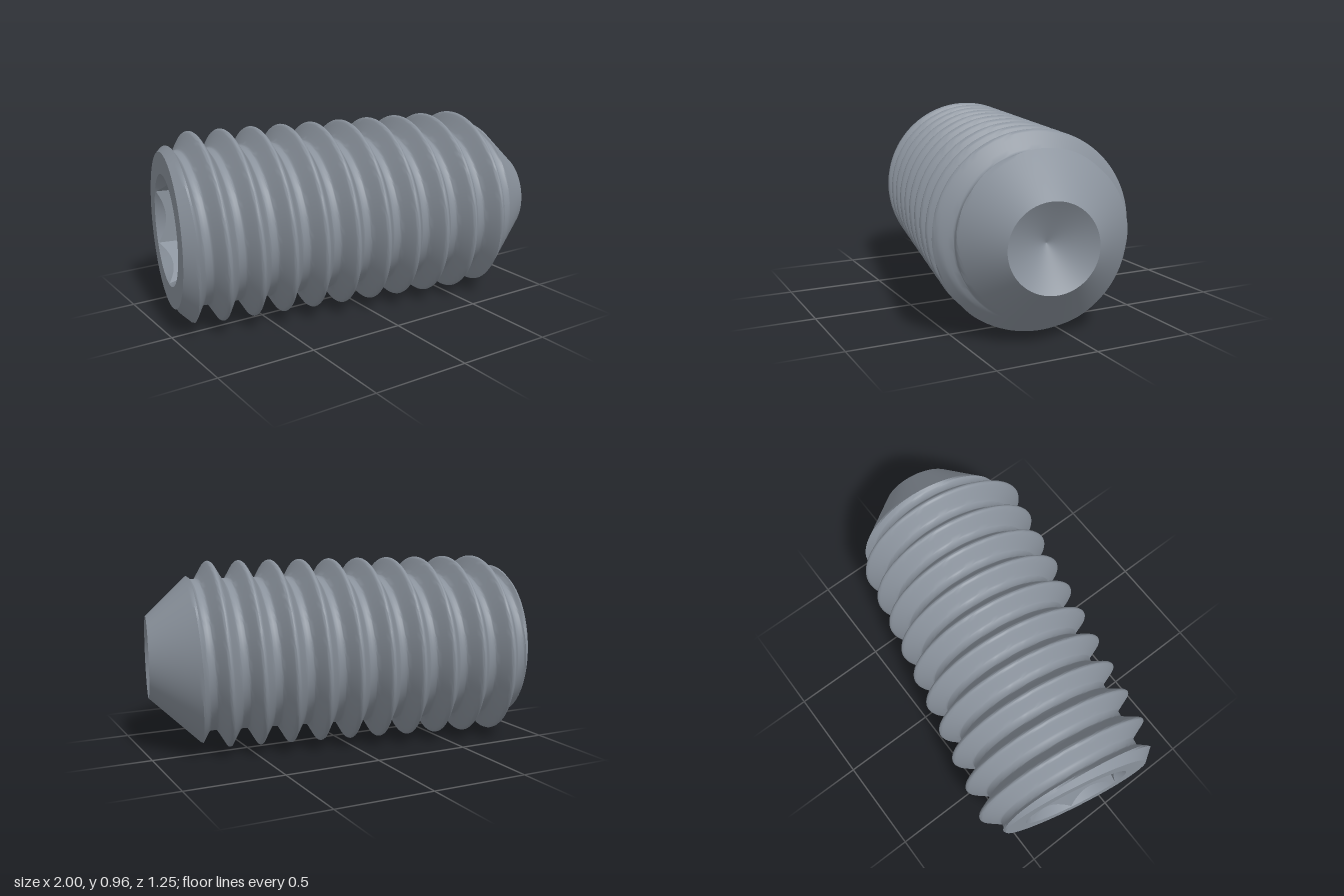
import * as THREE from 'three';
import { toCreasedNormals } from 'three/addons/utils/BufferGeometryUtils.js';

const steel = new THREE.MeshStandardMaterial({ color: 0x8a929c });
steel.name = 'steel grey';

const START = -0.939, END = 0.977;            // screw ends along its axis
const PITCH = 0.1596, MAJOR = 0.48, DEPTH = 0.09, FIRST_CREST = -0.782;
const END_R = 0.39, TIP_R = 0.208;
const HEX_FLAT = 0.24, MOUTH_R = 0.28;

// Skin rows of [position along axis, radius] around the x axis.
// rows go from the socket floor towards the tip, so faces point outwards.
function skin(name, rows, segments, crease = 0.7) {
  const pos = [];
  const point = (row, j) => {
    const t = (j / segments) * Math.PI * 2;
    const [s, r] = row(t);
    return [s, r * Math.cos(t), r * Math.sin(t)];
  };
  for (let i = 0; i < rows.length - 1; i++) {
    for (let j = 0; j < segments; j++) {
      const a = point(rows[i], j), b = point(rows[i], j + 1);
      const c = point(rows[i + 1], j + 1), d = point(rows[i + 1], j);
      const same = (p, q) => Math.hypot(p[0] - q[0], p[1] - q[1], p[2] - q[2]) < 1e-6;
      if (!same(a, b) && !same(b, c) && !same(a, c)) pos.push(...a, ...b, ...c);
      if (!same(a, c) && !same(c, d) && !same(a, d)) pos.push(...a, ...c, ...d);
    }
  }
  const geometry = new THREE.BufferGeometry();
  geometry.setAttribute('position', new THREE.Float32BufferAttribute(pos, 3));
  const mesh = new THREE.Mesh(toCreasedNormals(geometry, crease), steel);
  mesh.name = name;
  return mesh;
}

// Half a thread tooth: [offset in pitches from the crest, height 0..1]
const tooth = [
  [0, 1], [0.03, 0.986], [0.06, 0.95], [0.09, 0.877], [0.155, 0.68], [0.22, 0.485],
  [0.285, 0.29], [0.35, 0.1], [0.38, 0.03], [0.41, 0], [0.5, 0],
];

// Helical thread cut off by a chamfer at the socket end and a cone at the tip
function threadRows() {
  const turn = [...tooth.slice(0, -1), ...tooth.slice(1).reverse().map(([o, h]) => [1 - o, h])];
  const rows = [];
  for (let n = -3; n <= 12; n++) {
    for (const [offset, height] of turn) {
      rows.push((t) => {
        const along = FIRST_CREST + PITCH * (n + offset + t / (Math.PI * 2));
        const s = THREE.MathUtils.clamp(along, START, END);
        const thread = MAJOR - DEPTH * (1 - height);
        const chamfer = END_R + (s - START);
        const cone = TIP_R + (END - s) * 0.95;
        return [s, Math.min(thread, chamfer, cone)];
      });
    }
  }
  return rows;
}

// Hexagon radius with corners at top and bottom
function hexRadius(t) {
  const sector = Math.PI / 3;
  const k = t - Math.floor(t / sector) * sector - sector / 2;
  return HEX_FLAT / Math.cos(k);
}

export function createModel() {
  const group = new THREE.Group();
  group.name = 'setScrew';

  group.add(skin('threadedBody', threadRows(), 96));

  // Flat ring around the socket
  group.add(skin('socketFace', [() => [START, MOUTH_R], () => [START, END_R]], 96));

  // Hexagonal socket with a countersunk mouth and a shallow conical floor
  group.add(skin('hexSocket', [
    () => [START + 0.64, 0],
    (t) => [START + 0.56, hexRadius(t)],
    (t) => [START + (MOUTH_R - hexRadius(t)) * 1.2, hexRadius(t)],
    () => [START, MOUTH_R],
  ], 96, 0.4));

  // Conical hollow in the tip
  group.add(skin('cupPoint', [() => [END, TIP_R], () => [END - 0.12, 0]], 96));

  group.rotation.y = -0.2083;
  group.position.y = MAJOR;
  const root = new THREE.Group();
  root.add(group);
  return root;
}
